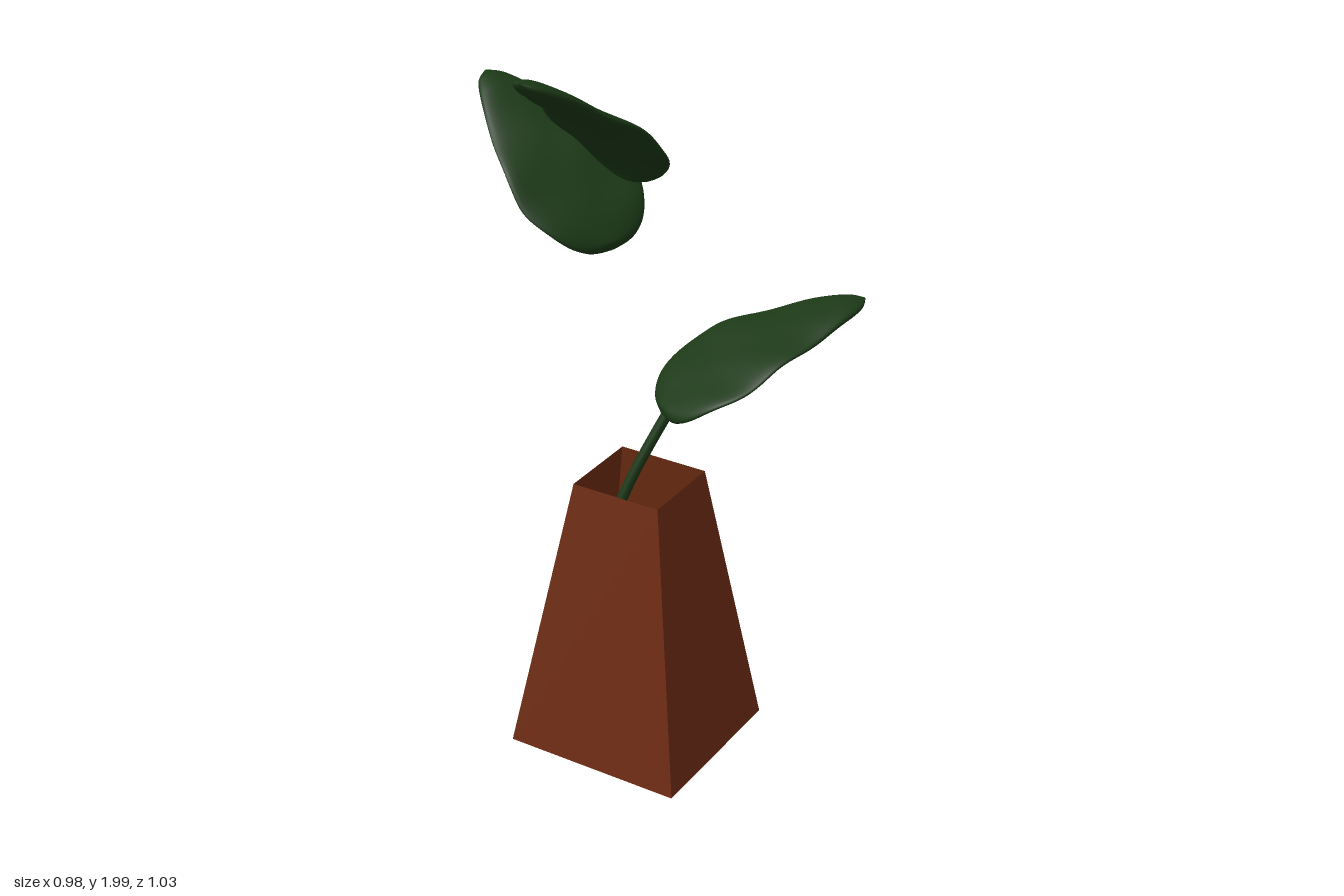
import * as THREE from 'three';

const V = (x, y, z) => new THREE.Vector3(x, y, z);

// Half-width of a leaf (x) against distance from its base (y), for a leaf 0.6 long
const OUTLINE = new THREE.SplineCurve([
  [0.003, 0], [0.07, 0.014], [0.122, 0.06], [0.16, 0.15], [0.157, 0.235],
  [0.134, 0.33], [0.098, 0.44], [0.066, 0.52], [0.036, 0.575], [0.003, 0.6],
].map(([w, d]) => new THREE.Vector2(w, d)));

// Closed lens-shaped cross-sections, arched along the length and softly rippled;
// skew pushes one half of the blade further towards the tip
function leafGeometry(skew) {
  const rows = 48, sides = 32, positions = [], index = [];
  OUTLINE.getPoints(rows).forEach((p) => {
    const w = Math.max(p.x, 0.002), t = THREE.MathUtils.clamp(p.y / 0.6, 0, 1);
    const thick = Math.min(0.02, w * 0.35);
    const arch = 0.036 * Math.sin(Math.PI * Math.pow(t, 0.8));
    for (let j = 0; j < sides; j++) {
      const a = (j / sides) * Math.PI * 2;
      const x = w * Math.cos(a);
      const cup = 0.3 * x * x;
      const ripple = 0.035 * Math.abs(x) * Math.sin(t * 17 + (x > 0 ? 0 : 8 * x));
      positions.push(x, arch + cup + ripple + thick * Math.sin(a), p.y + skew * x);
    }
  });
  for (let i = 0; i < rows; i++) {
    for (let j = 0; j < sides; j++) {
      const k = (j + 1) % sides;
      const a = i * sides + j, b = i * sides + k;
      index.push(a, b, b + sides, a, b + sides, a + sides);
    }
  }
  const g = new THREE.BufferGeometry();
  g.setAttribute('position', new THREE.Float32BufferAttribute(positions, 3));
  g.setIndex(index);
  g.computeVertexNormals();
  return g;
}

export function createModel() {
  const root = new THREE.Group();
  root.name = 'pottedPlant';

  const clay = new THREE.MeshStandardMaterial({ color: 0x702d14, flatShading: true, side: THREE.DoubleSide });
  const green = new THREE.MeshStandardMaterial({ color: 0x1b3816 });

  const add = (name, geometry, material, parent = root) => {
    const mesh = new THREE.Mesh(geometry, material);
    mesh.name = name;
    parent.add(mesh);
    return mesh;
  };

  // Tapered square pot, open at the top
  const pot = new THREE.Group();
  pot.name = 'pot';
  pot.position.set(0.089, 0, -0.0725);
  root.add(pot);
  const walls = new THREE.CylinderGeometry(0.123 * Math.SQRT2, 0.244 * Math.SQRT2, 0.755, 4, 1, true);
  walls.rotateY(Math.PI / 4).scale(1, 1, 0.952).translate(0, 0.3775, 0);
  add('potWalls', walls, clay, pot);
  add('potFloor', new THREE.PlaneGeometry(0.488, 0.4646).rotateX(-Math.PI / 2), clay, pot);

  // Curved stem rising out of the pot into the lowest leaf
  const path = new THREE.CatmullRomCurve3([
    V(-0.05, 0.36, 0.025), V(0.01, 0.55, -0.012), V(0.07, 0.755, -0.07),
    V(0.122, 0.9, -0.128), V(0.138, 0.94, -0.145),
  ]);
  add('stem', new THREE.TubeGeometry(path, 24, 0.014, 10), green);

  // Leaves: base, tip, roll in degrees, skew
  [
    ['lowerLeaf', V(0.118, 0.92, -0.128), V(0.48, 1.18, -0.51), 4, -0.05],
    ['middleLeaf', V(-0.045, 1.32, -0.155), V(-0.485, 1.675, -0.255), -15, 0.12],
    ['upperLeaf', V(0.136, 1.625, 0.052), V(0.14, 1.99, 0.515), -5, 0.13],
  ].forEach(([name, base, tip, roll, skew]) => {
    const d = tip.clone().sub(base);
    const mesh = add(name, leafGeometry(skew), green);
    mesh.position.copy(base);
    mesh.rotation.set(
      -Math.atan2(d.y, Math.hypot(d.x, d.z)),
      Math.atan2(d.x, d.z),
      THREE.MathUtils.degToRad(roll), 'YXZ');
    mesh.scale.z = d.length() / 0.6;
  });

  return root;
}
